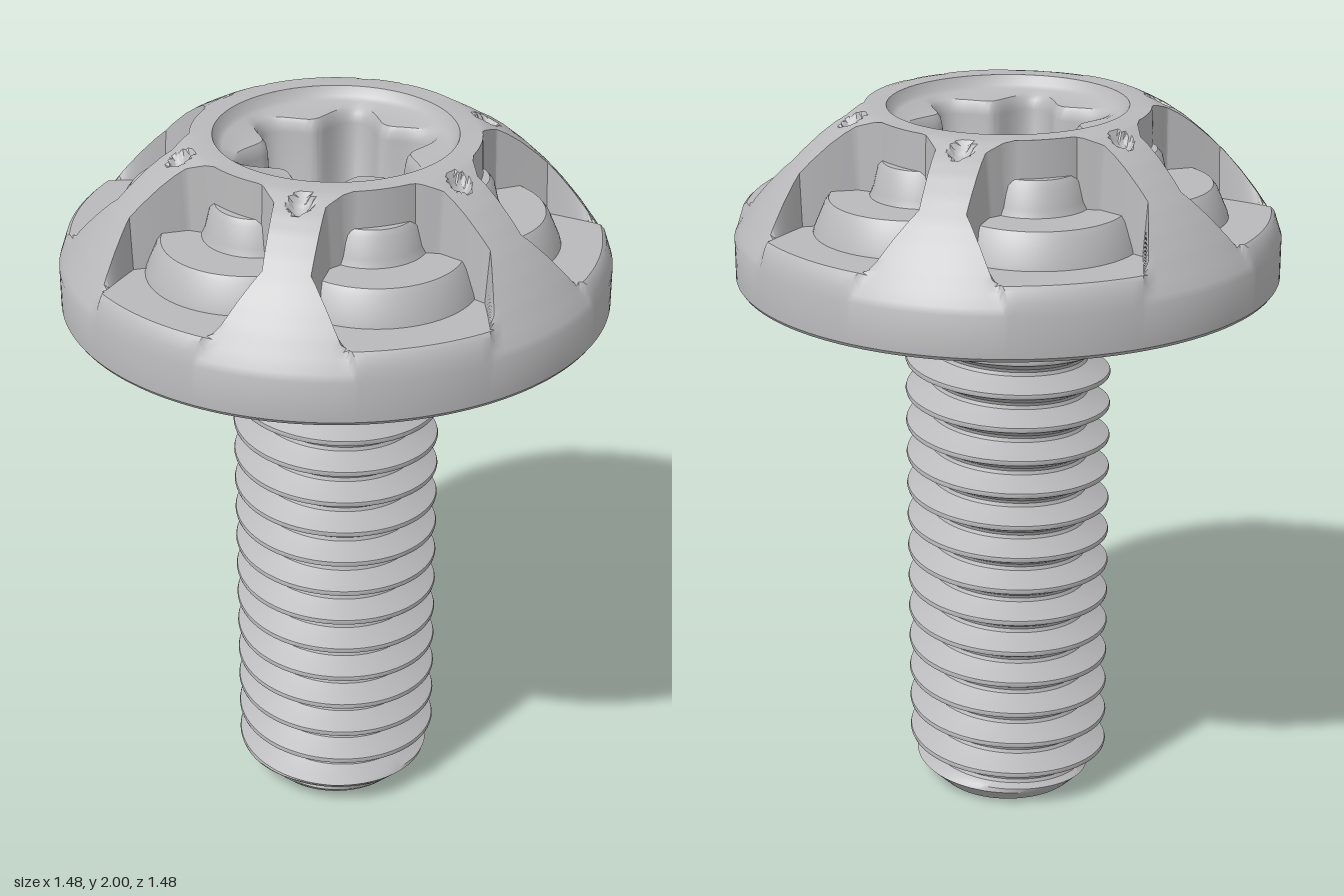
import * as THREE from 'three';
import { toCreasedNormals } from 'three/addons/utils/BufferGeometryUtils.js';

const TAU = Math.PI * 2;
const SECTOR = TAU / 6;

// Piecewise linear lookup through [x, y] points
function lookup(points, x) {
  if (x <= points[0][0]) return points[0][1];
  for (let i = 1; i < points.length; i++) {
    const [x0, y0] = points[i - 1], [x1, y1] = points[i];
    if (x <= x1) return y0 + ((y1 - y0) * (x - x0)) / (x1 - x0);
  }
  return points[points.length - 1][1];
}

// Surface through rows x cols points; point(i, j) returns [radius, angle, y]
function loft(rows, cols, point, crease = 0.6) {
  const pos = [], index = [];
  for (let i = 0; i < rows; i++) {
    for (let j = 0; j < cols; j++) {
      const [r, a, y] = point(i, j);
      pos.push(r * Math.cos(a), y, r * Math.sin(a));
      if (i < rows - 1 && j < cols - 1) {
        const k = i * cols + j;
        index.push(k, k + cols, k + 1, k + 1, k + cols, k + cols + 1);
      }
    }
  }
  const g = new THREE.BufferGeometry();
  g.setAttribute('position', new THREE.Float32BufferAttribute(pos, 3));
  g.setIndex(index);
  return toCreasedNormals(g, crease);
}

const lathe = (pts, segs = 128, start = 0, sweep = TAU) => toCreasedNormals(
  new THREE.LatheGeometry(pts.map(p => new THREE.Vector2(...p)), segs, start, sweep), 0.6);

// Crown: domed ribs between six pockets, with a dimple at each rib's inner end
const DOME = [[0.375, 2], [0.395, 1.996], [0.42, 1.984], [0.46, 1.962], [0.5, 1.934], [0.55, 1.891],
  [0.6, 1.842], [0.64, 1.796], [0.68, 1.744], [0.72, 1.685], [0.74, 1.65]];
const FLOOR = [[0.385, 2], [0.395, 1.72], [0.717, 1.72], [0.74, 1.65]];
const RIB_HALF_WIDTH = [[0.385, 0.11], [0.43, 0.066], [0.58, 0.062], [0.74, 0.2]];

function crownGeometry() {
  const rows = [[0.733, 1.53], [0.74, 1.54], [0.74, 1.65]];
  for (let r = 0.73; r > 0.452; r -= 0.01) rows.push([r]);
  for (let r = 0.449; r > 0.394; r -= 0.006) rows.push([r]);
  rows.push([0.385], [0.375], [0.325, 2]);

  const ribCols = 14, floorCols = 14, perSector = ribCols + floorCols;
  return loft(rows.length, perSector * 6 + 1, (i, j) => {
    const [r, fixedY] = rows[i];
    const sector = Math.floor(j / perSector), k = j % perSector;
    const edge = Math.asin(lookup(RIB_HALF_WIDTH, r) / r);
    const onRib = k < ribCols;
    let a, y;
    if (onRib) {
      a = edge * ((2 * k) / (ribCols - 1) - 1);
      const d = Math.hypot(r * Math.cos(a) - 0.421, r * Math.sin(a));
      y = lookup(DOME, r) - 0.03 * Math.sqrt(Math.max(0, 1 - (d / 0.03) ** 2));
    } else {
      const start = edge + 0.014 / r;
      a = start + (SECTOR - 2 * start) * ((k - ribCols) / (floorCols - 1));
      y = lookup(FLOOR, r);
    }
    return [r, a + sector * SECTOR, fixedY ?? y];
  });
}

// Six-lobed socket with a shallow counterbore and a pleated conical bottom
function socketGeometry() {
  const rows = [ // lobe amount, scale, height
    [0, 0.325, 2], [0, 0.312, 1.975], [0, 0.3, 1.966], [1, 1.08, 1.957], [1, 1.03, 1.945],
    [1, 1, 1.92], [1, 0.96, 1.74], [1, 0.9, 1.715], [1, 0.45, 1.685], [1, 0, 1.655]];
  return loft(rows.length, 145, (i, j) => {
    const [lobed, s, y] = rows[i];
    const a = (j / 144) * TAU;
    return [lobed ? s * (0.222 + 0.037 * Math.cos(6 * a)) : s, a, y];
  });
}

// Helical thread, chamfered at the tip and running out into a flared neck
function threadGeometry() {
  const pitch = 0.0955, top = 1.53, segs = 72;
  const profile = [[0, 0.285], [0.07, 0.283], [0.16, 0.266], [0.29, 0.241], [0.4, 0.222], [0.5, 0.218],
    [0.6, 0.222], [0.71, 0.241], [0.84, 0.266], [0.93, 0.283]];
  const n = profile.length;
  const first = 1.4 - 16 * pitch;
  return loft(n * 19, segs + 1, (i, j) => {
    const turn = j / segs;
    const [f, thread] = profile[i % n];
    const y = THREE.MathUtils.clamp(first + pitch * (Math.floor(i / n) + f + turn), 0, top);
    const neck = 0.25 + 0.037 * THREE.MathUtils.smoothstep(y, 1.47, top);
    const r = THREE.MathUtils.lerp(thread, neck, THREE.MathUtils.smoothstep(y, 1.42, 1.47));
    return [Math.min(r, 0.2 + y), turn * TAU, y];
  });
}

export function createModel() {
  const steel = new THREE.MeshStandardMaterial({ color: 0xb9b9bb });
  const model = new THREE.Group();
  model.name = 'screw';
  const add = (name, geometry, parent = model) => {
    const mesh = new THREE.Mesh(geometry, steel);
    mesh.name = name;
    parent.add(mesh);
    return mesh;
  };

  const head = new THREE.Group();
  head.name = 'head';
  model.add(head);
  add('crown', crownGeometry(), head);
  add('socket', socketGeometry(), head);
  add('underside', lathe([[0.2, 1.53], [0.733, 1.53]]), head);

  // Terraces stepping up from each pocket floor to the hub
  const terrace = lathe([[0.272, 1.715], [0.268, 1.73], [0.24, 1.795], [0.228, 1.81], [0, 1.81]],
    40, -Math.PI / 2, Math.PI);
  const boss = lathe([[0.15, 1.805], [0.138, 1.83], [0.125, 1.885], [0.112, 1.9], [0, 1.9]],
    32, -Math.PI / 2, Math.PI);
  for (let i = 0; i < 6; i++) {
    const pocket = new THREE.Group();
    pocket.name = 'pocketSteps';
    pocket.rotation.y = (i + 0.5) * SECTOR + Math.PI / 3 + Math.PI / 6 - Math.PI / 2 + Math.PI / 6 + Math.PI / 6;
    pocket.rotation.y = i * SECTOR;
    add('terrace', terrace, pocket).position.z = 0.332;
    add('boss', boss, pocket).position.z = 0.332 - 0.035;
    head.add(pocket);
  }

  add('threadedShank', threadGeometry());
  add('shankTip', lathe([[0, 0], [0.2, 0]], 72));
  return model;
}
